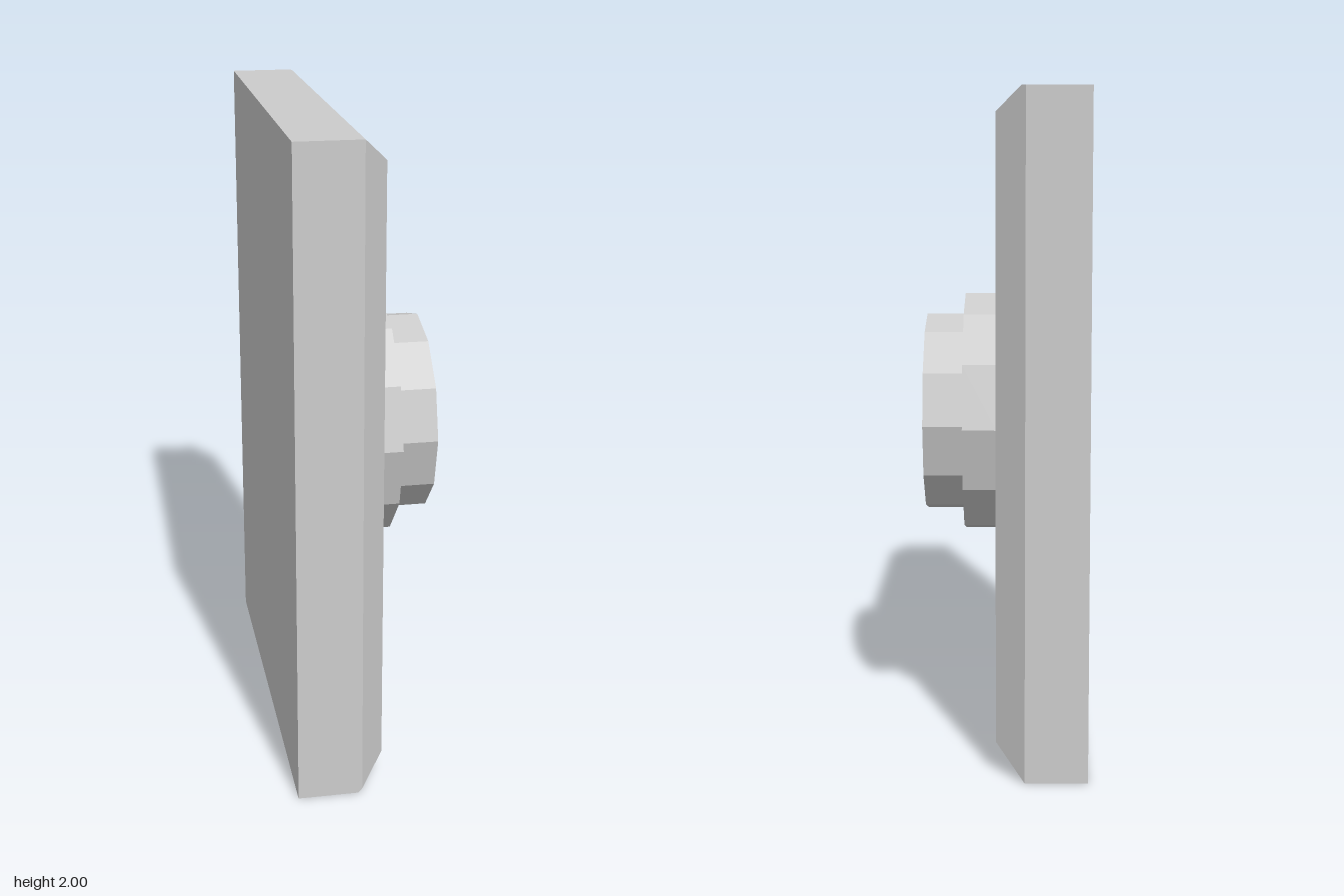
import * as THREE from 'three';
import { ConvexGeometry } from 'three/addons/geometries/ConvexGeometry.js';

const material = new THREE.MeshStandardMaterial({ color: 0xcccccc, flatShading: true });

function addMesh(group, name, geometry) {
  const mesh = new THREE.Mesh(geometry, material);
  mesh.name = name;
  group.add(mesh);
  return mesh;
}

// Four corners of a rectangle standing at a given x
function rectangle(x, y0, y1, z0, z1) {
  return [[x, y0, z0], [x, y0, z1], [x, y1, z0], [x, y1, z1]];
}

export function createModel() {
  const group = new THREE.Group();
  group.name = 'wallButton';

  // Wall plate: flat back, slightly uneven chamfers around the +x face
  const corners = [
    ...rectangle(-0.25, 0, 2, -0.67, 0.67),
    ...rectangle(0.02, 0.095, 1.93, -0.585, 0.6),
    // chamfer rim
    [-0.053, 2, 0.67],
    [-0.053, 2, -0.658], [-0.065, 2, -0.67],
    [-0.065, 0, -0.67],
    [-0.053, 0.014, 0.67], [-0.065, 0, 0.67],
  ];
  addMesh(group, 'wallPlate', new ConvexGeometry(corners.map((p) => new THREE.Vector3(...p))));

  // Twelve-sided collar and button, stacked along +x
  const discs = [
    ['buttonCollar', 0.384, 0.02, 0.125],
    ['button', 0.317, 0.125, 0.248],
  ];
  for (const [name, radius, x0, x1] of discs) {
    const geometry = new THREE.CylinderGeometry(radius, radius, x1 - x0, 12);
    geometry.rotateZ(-Math.PI / 2);
    addMesh(group, name, geometry).position.set((x0 + x1) / 2, 0.995, 0);
  }

  return group;
}
